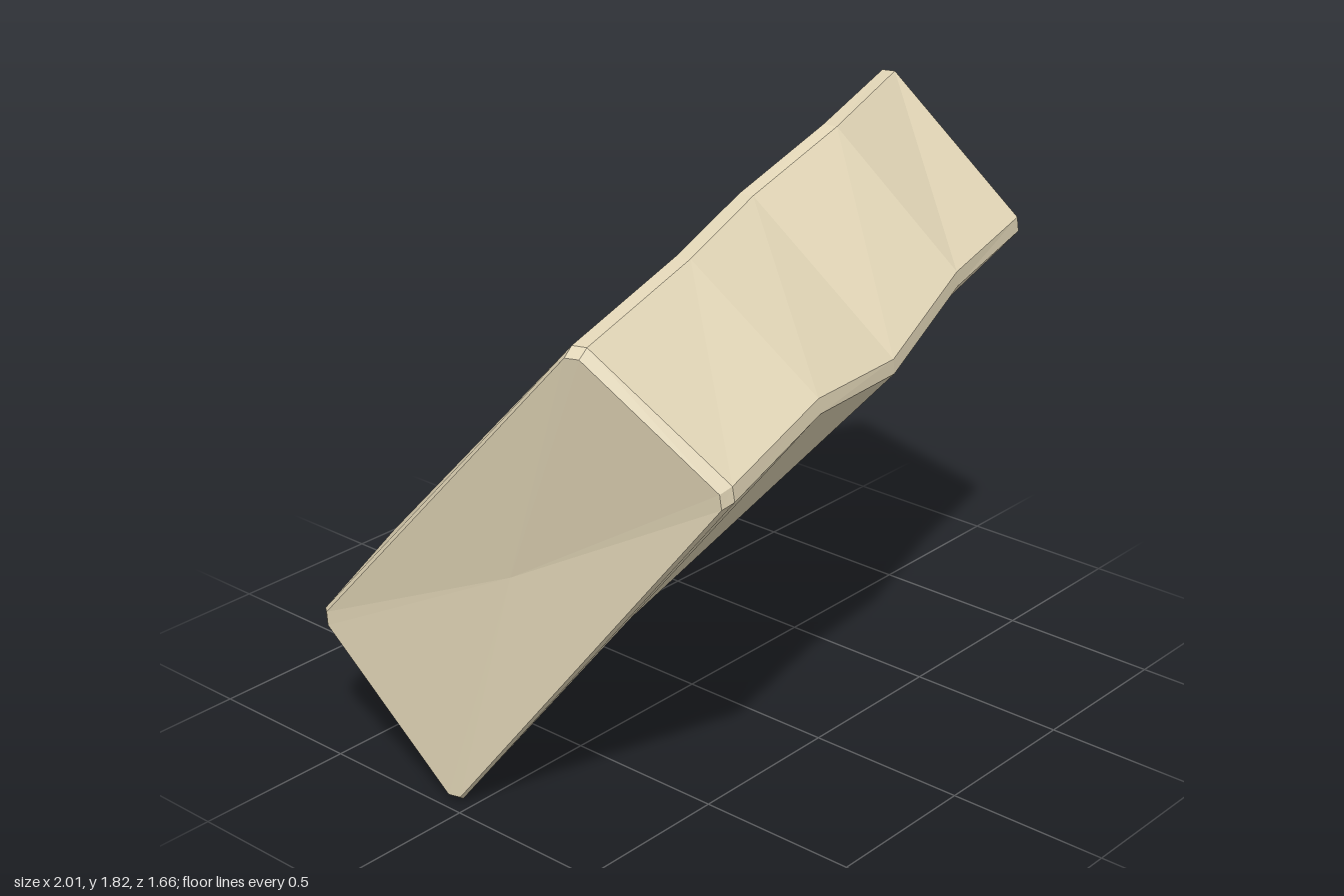
import * as THREE from 'three';

// Four long edges of the tilted slab, each with five points from right end (-x) to left end (+x)
const ridge = [[-1.0, 1.54, 0.48], [-0.5, 1.635, 0.405], [-0.13, 1.695, 0.31], [0.28, 1.79, 0.275], [0.78, 1.82, 0.11]];
const front = [[-0.81, 1.17, 0.83], [-0.37, 1.27, 0.77], [0.02, 1.25, 0.72], [0.43, 1.37, 0.63], [0.86, 1.415, 0.55]];
const foot = [[-0.97, 0, -0.06], [-0.42, 0.11, -0.19], [0, 0.2, -0.28], [0.47, 0.3, -0.36], [1.005, 0.34, -0.45]];
const back = [[-1.0, 0.43, -0.55], [-0.6, 0.52, -0.66], [-0.14, 0.625, -0.7], [0.3, 0.665, -0.83], [0.8, 0.68, -0.83]];
const BEVEL = 0.032;

// Cross-section with a chamfer at each of its four corners, cut half inside and half outside the edge lines
function section(i) {
  const corners = [ridge, front, foot, back].map(e => new THREE.Vector3(...e[i]));
  return corners.flatMap((p, k) => {
    const toPrev = corners[(k + 3) % 4].clone().sub(p).setLength(BEVEL / 2);
    const toNext = corners[(k + 1) % 4].clone().sub(p).setLength(BEVEL / 2);
    return [p.clone().add(toPrev).sub(toNext), p.clone().add(toNext).sub(toPrev)];
  });
}

function centre(ring) {
  return ring.reduce((s, p) => s.add(p), new THREE.Vector3()).multiplyScalar(1 / ring.length);
}

// Smaller ring that closes an end, leaving a chamfer around it
function capRing(ring) {
  const c = centre(ring);
  return ring.map(p => p.clone().add(c.clone().sub(p).setLength(BEVEL * 0.8)));
}

function slabGeometry() {
  const rings = [0, 1, 2, 3, 4].map(section);
  const startCap = capRing(rings[0]), endCap = capRing(rings[4]);
  const inset = (ring, next) => ring.map((p, j) => next[j].clone().sub(p).setLength(BEVEL * 0.8).add(p));
  rings[0] = inset(rings[0], rings[1]);
  rings[4] = inset(rings[4], rings[3]);
  const all = [startCap, ...rings, endCap];

  const pos = [];
  const tri = (...pts) => pts.forEach(p => pos.push(p.x, p.y, p.z));
  for (let i = 0; i < all.length - 1; i++) {
    for (let j = 0; j < 8; j++) {
      const k = (j + 1) % 8;
      const a = all[i][j], b = all[i][k], c = all[i + 1][k], d = all[i + 1][j];
      tri(a, b, d);
      tri(b, c, d);
    }
  }
  // End faces
  const c0 = centre(startCap), c1 = centre(endCap);
  for (let j = 0; j < 8; j++) {
    const k = (j + 1) % 8;
    tri(c0, startCap[k], startCap[j]);
    tri(c1, endCap[j], endCap[k]);
  }
  const g = new THREE.BufferGeometry();
  g.setAttribute('position', new THREE.Float32BufferAttribute(pos, 3));

  // Stand on the ground, centred
  g.computeBoundingBox();
  const mid = g.boundingBox.getCenter(new THREE.Vector3());
  g.translate(-mid.x, -g.boundingBox.min.y, -mid.z);
  g.computeVertexNormals();
  return g;
}

export function createModel() {
  const sandstone = new THREE.MeshStandardMaterial({ color: 0xe2d6b7, flatShading: true });
  sandstone.name = 'sandstone';
  const slab = new THREE.Mesh(slabGeometry(), sandstone);
  slab.name = 'stoneSlab';
  const group = new THREE.Group();
  group.name = 'tiltedStone';
  group.add(slab);
  return group;
}
